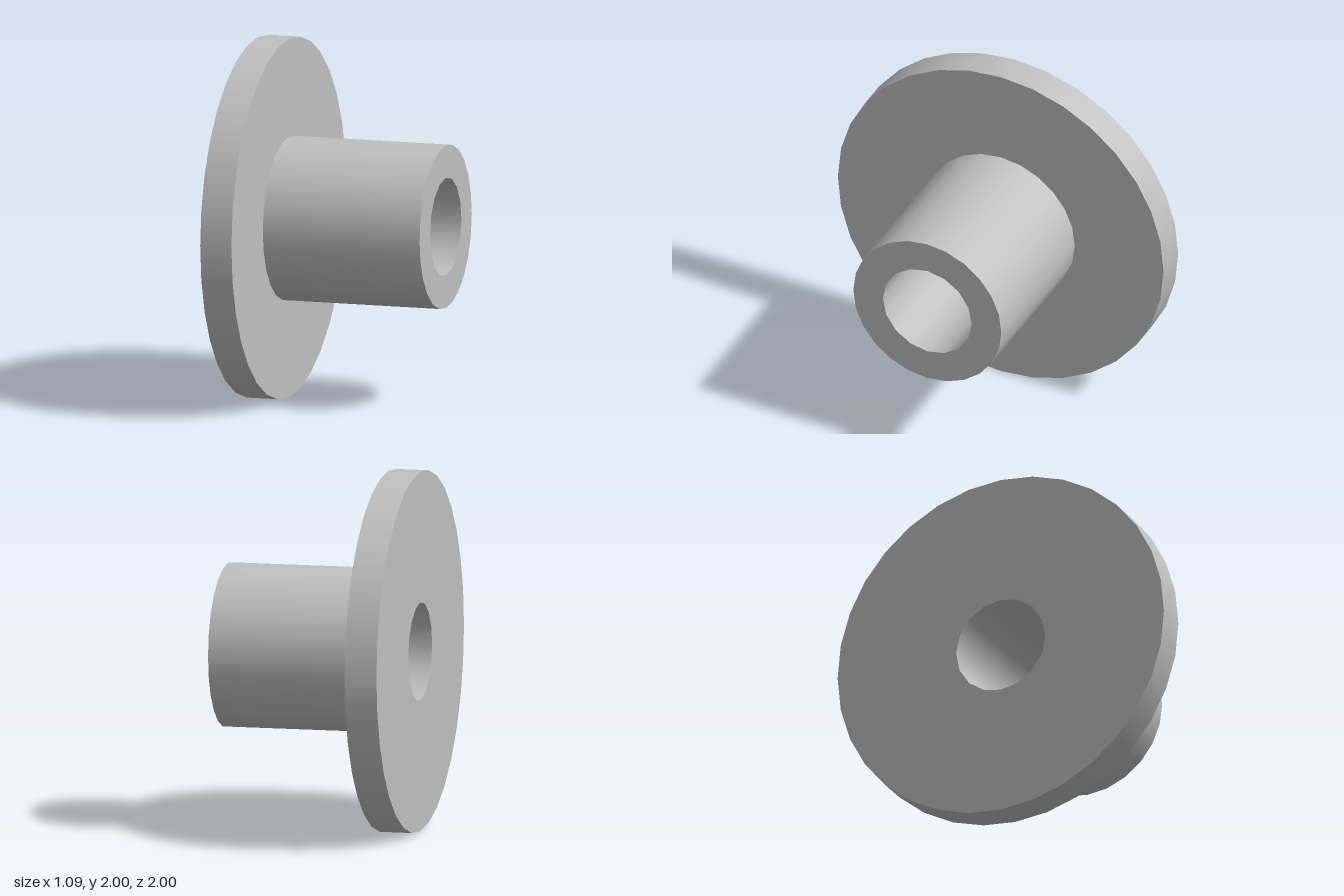
import * as THREE from 'three';

const BACK = -0.545, STEP = -0.364, END = 0.545; // stations along the x axis
const FLANGE = { r: 1, n: 32 }, HUB = { r: 0.4545, n: 24 }, BORE = { r: 0.273, n: 16 };

// Round wall along x; running from low to high x faces outward, the reverse faces inward
function wall({ r, n }, from, to) {
  const profile = [new THREE.Vector2(r, from), new THREE.Vector2(r, to)];
  return new THREE.LatheGeometry(profile, n).rotateZ(-Math.PI / 2);
}

function ring({ r, n }) {
  return Array.from({ length: n }, (_, i) => {
    const a = (i / n) * Math.PI * 2;
    return new THREE.Vector2(r * Math.cos(a), r * Math.sin(a));
  });
}

// Flat annular face at x, facing +x (dir 1) or -x (dir -1)
function face(outer, inner, x, dir) {
  const shape = new THREE.Shape(ring(outer));
  shape.holes.push(new THREE.Path(ring(inner)));
  return new THREE.ShapeGeometry(shape).rotateY(dir * Math.PI / 2).translate(x, 0, 0);
}

export function createModel() {
  const model = new THREE.Group();
  model.name = 'flangedBushing';
  const metal = new THREE.MeshStandardMaterial({ color: 0xc0c0c0 });
  metal.name = 'light grey metal';

  const parts = {
    flangeRim: wall(FLANGE, BACK, STEP),
    flangeBackFace: face(FLANGE, BORE, BACK, -1),
    flangeInnerFace: face(FLANGE, HUB, STEP, 1),
    hubWall: wall(HUB, STEP, END),
    hubEndFace: face(HUB, BORE, END, 1),
    boreWall: wall(BORE, END, BACK),
  };
  for (const [name, geometry] of Object.entries(parts)) {
    const mesh = new THREE.Mesh(geometry, metal);
    mesh.name = name;
    mesh.position.y = 1;
    model.add(mesh);
  }
  return model;
}
